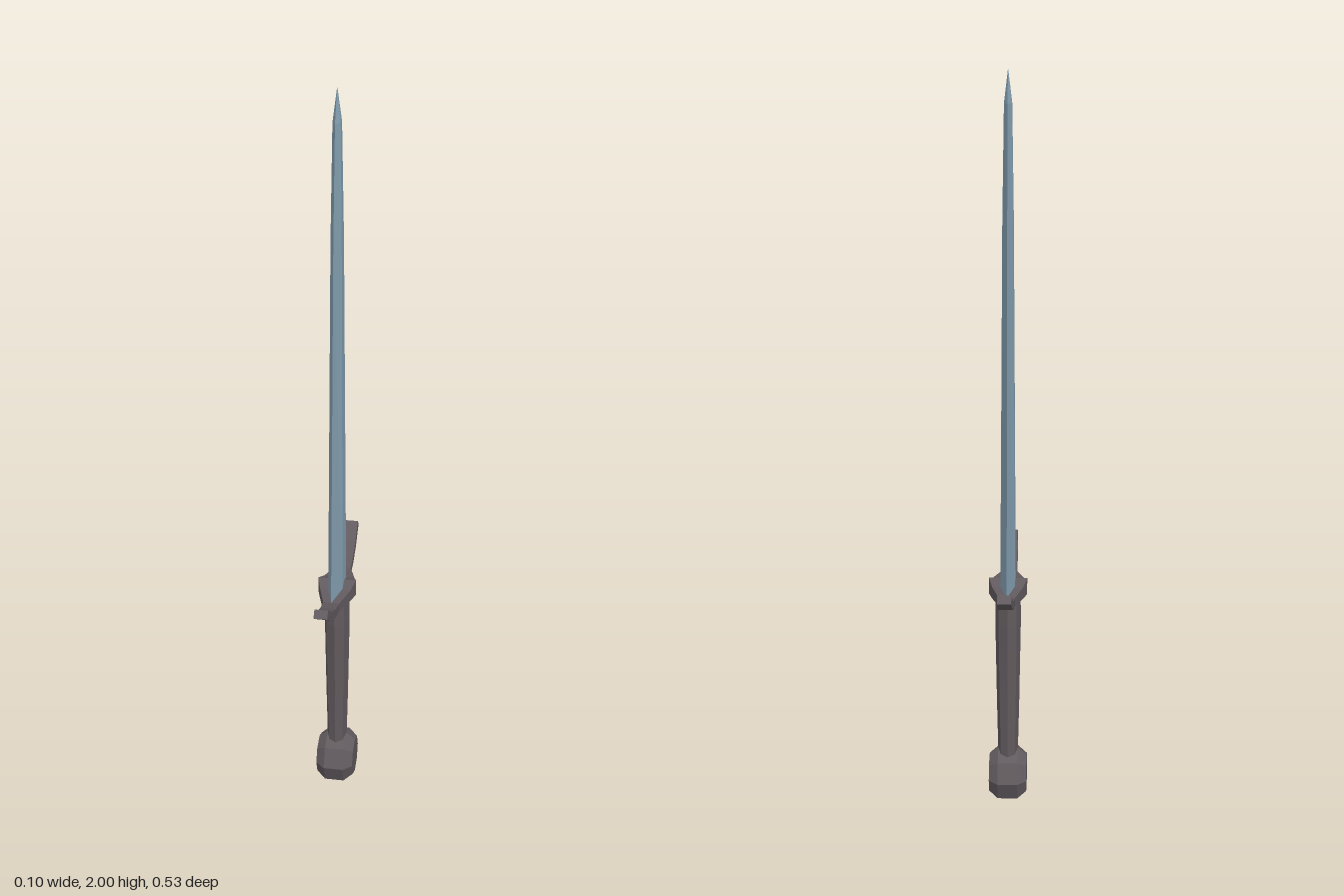
import * as THREE from 'three';

// Skins a list of equal-length rings of [x, y, z] points and caps both ends.
function loft(rings) {
  const pos = [];
  const tri = (a, b, c) => pos.push(...a, ...b, ...c);
  const n = rings[0].length;
  for (let k = 0; k < rings.length - 1; k++) {
    for (let i = 0; i < n; i++) {
      const j = (i + 1) % n;
      const a = rings[k][i], b = rings[k][j], c = rings[k + 1][j], d = rings[k + 1][i];
      tri(a, d, c);
      tri(a, c, b);
    }
  }
  const first = rings[0], last = rings[rings.length - 1];
  for (let i = 1; i < n - 1; i++) {
    tri(first[0], first[i], first[i + 1]);
    tri(last[0], last[i + 1], last[i]);
  }
  const g = new THREE.BufferGeometry();
  g.setAttribute('position', new THREE.Float32BufferAttribute(pos, 3));
  g.computeVertexNormals();
  return g;
}

// Eight-sided ring with corners on the axes
const octagon = (y, rx, rz) => Array.from({ length: 8 }, (_, i) => {
  const a = (i * Math.PI) / 4;
  return [Math.cos(a) * rx, y, Math.sin(a) * rz];
});

export function createModel() {
  const group = new THREE.Group();
  const steel = new THREE.MeshStandardMaterial({ color: 0x86a2b4, flatShading: true });
  steel.name = 'blue steel';
  const iron = new THREE.MeshStandardMaterial({ color: 0x615a5e, flatShading: true });
  iron.name = 'dark iron';
  const add = (name, geometry, material) => {
    const mesh = new THREE.Mesh(geometry, material);
    mesh.name = name;
    group.add(mesh);
    return mesh;
  };

  // Blade: flattened six-sided section, tapering to a point
  const bladeRing = ([y, hx, hz]) => [
    [hx, y, -hz * 0.3], [hx, y, hz * 0.3], [0, y, hz],
    [-hx, y, hz * 0.3], [-hx, y, -hz * 0.3], [0, y, -hz],
  ];
  add('blade', loft([
    [0.63, 0.02, 0.101], [1.63, 0.014, 0.058], [1.92, 0.01, 0.033], [2, 0.0005, 0.0005],
  ].map(bladeRing)), steel);

  // Crossguard: half profile of [z, bottom y, top y, half width, end lean], mirrored
  const half = [
    [0, 0.617, 0.663, 0.052, 0], [0.035, 0.617, 0.65, 0.042, 0],
    [0.1, 0.622, 0.645, 0.022, 0.002], [0.15, 0.632, 0.656, 0.021, 0.004],
    [0.2, 0.653, 0.675, 0.02, 0.009], [0.265, 0.695, 0.713, 0.018, 0.016],
  ];
  const guardRing = ([z, bottom, top, hx, lean], side) => [
    [hx, top, side * (z - lean)], [hx, bottom, side * z],
    [-hx, bottom, side * z], [-hx, top, side * (z - lean)],
  ];
  add('crossguard', loft([
    ...half.slice(1).reverse().map((s) => guardRing(s, -1)),
    ...half.map((s) => guardRing(s, 1)),
  ]), iron);

  // Grip: widens towards the guard
  add('grip', loft([
    octagon(0.12, 0.027, 0.034), octagon(0.3, 0.031, 0.04),
    octagon(0.54, 0.035, 0.05), octagon(0.63, 0.034, 0.05),
  ]), iron);

  // Pommel: bevelled eight-sided disc lying across the blade
  const pommel = add('pommel', loft([
    octagon(-0.052, 0.055, 0.055), octagon(-0.027, 0.077, 0.077),
    octagon(0.027, 0.077, 0.077), octagon(0.052, 0.055, 0.055),
  ]), iron);
  pommel.rotation.z = Math.PI / 2;
  pommel.position.y = 0.077;

  return group;
}
